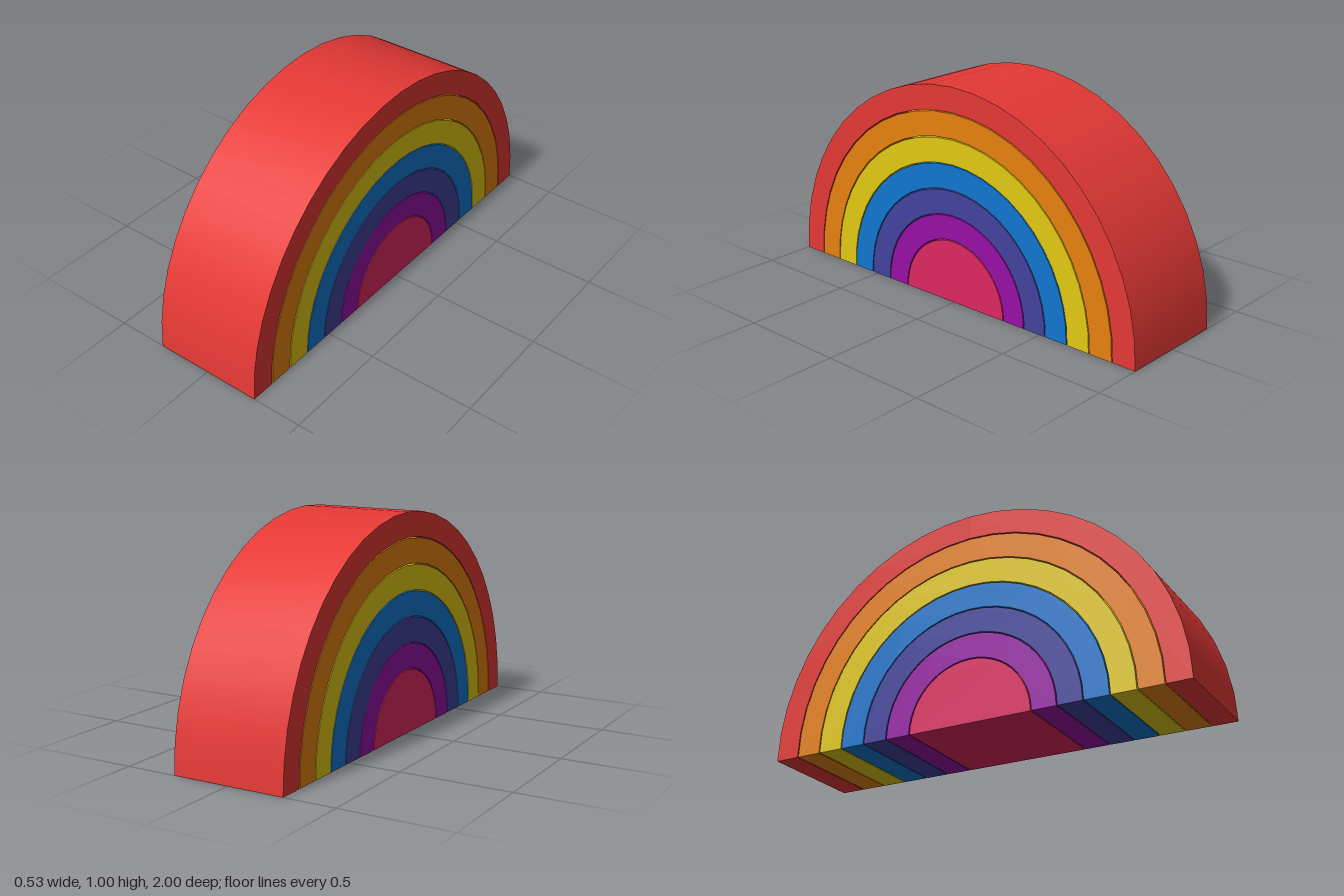
import * as THREE from 'three';
import { toCreasedNormals } from 'three/addons/utils/BufferGeometryUtils.js';

const WIDTH = 0.526; // thickness along x
const STEP = 0.118;  // radius lost per band
const GAP = 0.005;   // sliver of air between nested bands

// Half ring (or half disc when inner is 0), extruded along x
function arch(outer, inner) {
  const shape = new THREE.Shape();
  shape.absarc(0, 0, outer, 0, Math.PI, false);
  if (inner > 0) shape.absarc(0, 0, inner, Math.PI, 0, true);
  shape.closePath();
  const geometry = new THREE.ExtrudeGeometry(shape, {
    depth: WIDTH, bevelEnabled: false, curveSegments: 12,
  });
  geometry.translate(0, 0, -WIDTH / 2).rotateY(Math.PI / 2);
  return toCreasedNormals(geometry, 0.5);
}

export function createModel() {
  const model = new THREE.Group();
  model.name = 'stackingRainbow';

  // Bands from the outside in; the last is the solid core
  const bands = [
    ['red', 0xe53935],
    ['orange', 0xe8820f],
    ['yellow', 0xe3c912],
    ['blue', 0x1177cf],
    ['indigo', 0x43429f],
    ['purple', 0x9810a6],
    ['pink', 0xde2862],
  ];
  bands.forEach(([name, color], i) => {
    const material = new THREE.MeshStandardMaterial({ color });
    material.name = name;
    const isCore = i === bands.length - 1;
    const outer = 1 - STEP * i;
    const inner = isCore ? 0 : outer - STEP + GAP;
    const mesh = new THREE.Mesh(arch(outer, inner), material);
    mesh.name = isCore ? `${name}Core` : `${name}Arch`;
    model.add(mesh);
  });
  return model;
}
